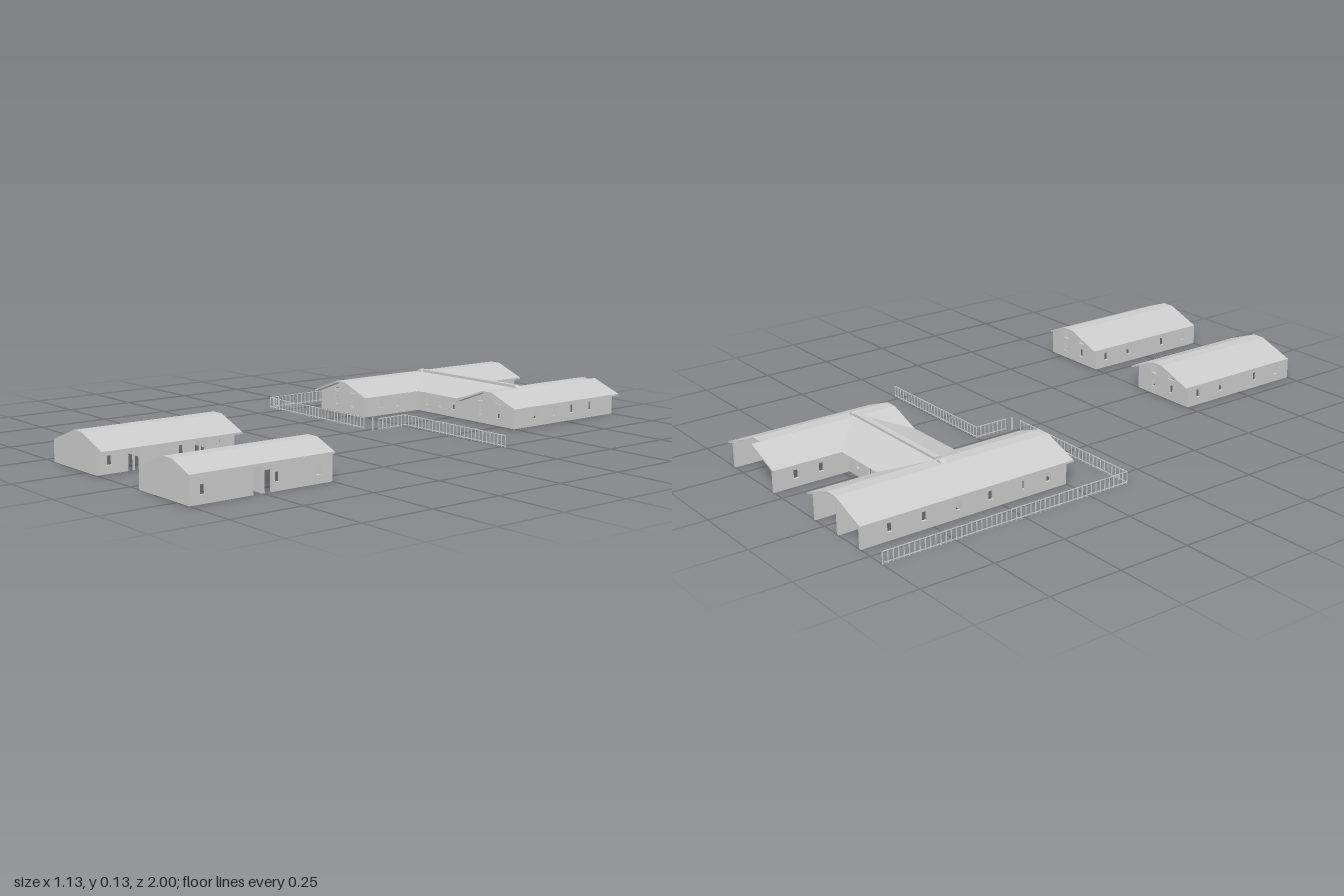
import * as THREE from 'three';

const mat = new THREE.MeshStandardMaterial({ color: 0xcccccc, flatShading: true, side: THREE.DoubleSide });
const T = 0.009; // wall thickness
const R = 0.006; // roof thickness

// Cross-section shared by every gabled wing: [across, height]
const roofLine = [[0, 0.073], [0.13, 0.121], [0.175, 0.121], [0.29, 0.077]];
const gableLine = [[0, 0], [0.26, 0], [0.26, 0.084], [0.175, 0.117], [0.13, 0.117], [0, 0.069]];

function add(parent, name, geo, x = 0, y = 0, z = 0, ry = 0) {
  const m = new THREE.Mesh(geo, mat);
  m.name = name;
  m.position.set(x, y, z);
  m.rotation.y = ry;
  parent.add(m);
  return m;
}

// Flat panel with rectangular openings [centre, bottom, width, height]
function panel(pts, openings = [], depth = T) {
  const s = new THREE.Shape(pts.map(p => new THREE.Vector2(p[0], p[1])));
  for (const [c, b, w, h] of openings) {
    s.holes.push(new THREE.Path([[c - w / 2, b], [c - w / 2, b + h], [c + w / 2, b + h], [c + w / 2, b]]
      .map(p => new THREE.Vector2(p[0], p[1]))));
  }
  return new THREE.ExtrudeGeometry(s, { depth, bevelEnabled: false });
}

const rect = (a, b, h) => [[a, 0], [b, 0], [b, h], [a, h]];
const lowWindow = c => [c, 0.027, 0.018, 0.03];

// Wall running along z, its thickness going towards -x
function sideWall(g, name, x, z0, z1, h, windows = [], doors = []) {
  const edges = [z0, ...doors.flat(), z1];
  for (let i = 0; i < edges.length; i += 2) {
    const a = edges[i], b = edges[i + 1];
    const own = windows.filter(c => c > a + 0.012 && c < b - 0.012).map(lowWindow);
    add(g, name, panel(rect(a, b, h), own), x, 0, 0, -Math.PI / 2);
  }
}

// Wall running along x
function crossWall(g, name, z, x0, x1, h, windows = []) {
  add(g, name, panel(rect(x0, x1, h), windows.map(lowWindow)), 0, 0, z);
}

// Three roof slabs: two slopes and a flat ridge
function gableRoof(g, x, z0, z1, width, ridgeStart = z0) {
  const k = (width - 0.175) / 0.115;
  const end = [width, 0.121 - 0.044 * k];
  const line = [...roofLine.slice(0, 3), end];
  ['leftRoofSlope', 'roofRidge', 'rightRoofSlope'].forEach((name, i) => {
    const [a, b] = [line[i], line[i + 1]];
    const start = i === 1 ? ridgeStart : z0;
    const pts = [[a[0], a[1] - R], [b[0], b[1] - R], b, a];
    add(g, name, panel(pts, [], z1 - start), x, 0, start);
  });
}

const gableWindows = [[0.09, 0.027, 0.018, 0.03], [0.18, 0.027, 0.018, 0.03],
  [0.09, 0.077, 0.03, 0.022], [0.18, 0.077, 0.03, 0.03]];

// Free-standing hall
function hall(name, x, roofWidth, doors) {
  const g = new THREE.Group();
  g.name = name;
  gableRoof(g, x, 0.49, 1, roofWidth);
  add(g, 'frontGable', panel(gableLine), x, 0, 1 - T);
  add(g, 'backGable', panel(gableLine, gableWindows), x, 0, 0.5);
  add(g, 'partition', panel(gableLine), x, 0, 0.745);
  sideWall(g, 'leftWall', x + T, 0.5, 1, 0.07, [0.55, 0.66, 0.83, 0.94]);
  sideWall(g, 'rightWall', x + 0.26, 0.5, 1, 0.084, [0.55, 0.7, 0.955], doors);
  // Porch post in each doorway
  for (const [a, b] of doors) {
    add(g, 'doorPost', new THREE.BoxGeometry(0.006, 0.084, 0.006), x + 0.257, 0.042, (a + b) / 2);
  }
  return g;
}

function leftWing() {
  const g = new THREE.Group(), x = -0.45;
  g.name = 'leftWing';
  gableRoof(g, x, -1, -0.22, 0.29);
  add(g, 'frontGable', panel(gableLine, gableWindows), x, 0, -0.25 - T);
  sideWall(g, 'outerWall', x + T, -1, -0.25, 0.07, [-0.9, -0.78, -0.66, -0.54, -0.42, -0.32]);
  sideWall(g, 'courtyardWall', x + 0.26, -1, -0.25, 0.084, [-0.92, -0.82, -0.4, -0.32]);
  sideWall(g, 'corridorWall', x + 0.13, -1, -0.25, 0.112, [], [[-0.92, -0.88], [-0.7, -0.66], [-0.5, -0.46], [-0.34, -0.3]]);
  // Room dividers beside the corridor
  for (const z of [-0.82, -0.62, -0.43]) {
    add(g, 'partition', panel([[0, 0], [0.13, 0], [0.13, 0.115], [0, 0.069]]), x, 0, z);
  }
  return g;
}

function rightWing() {
  const g = new THREE.Group(), x = 0.05;
  g.name = 'rightWing';
  gableRoof(g, x, -1, -0.47, 0.29, -0.97);
  add(g, 'frontGable', panel(gableLine, gableWindows), x, 0, -0.5 - T);
  add(g, 'partition', panel(gableLine), x, 0, -0.75);
  sideWall(g, 'courtyardWall', x + T, -1, -0.5, 0.07, [-0.92, -0.83], [[-0.64, -0.59]]);
  sideWall(g, 'outerWall', x + 0.26, -1, -0.5, 0.084, [-0.885, -0.79, -0.7, -0.605]);
  return g;
}

// Linking block whose roof runs into both wings
function link() {
  const g = new THREE.Group();
  g.name = 'linkBlock';
  crossWall(g, 'frontWall', -0.5 - T, -0.19, 0.05, 0.083, [-0.14, -0.07, 0.0]);
  crossWall(g, 'backWall', -0.73, -0.19, 0.05, 0.083, [-0.14, -0.07, 0.0]);
  const zr = -0.615;
  for (const s of [1, -1]) {
    const z = zr + s * 0.145;
    const p = [[-0.3, 0.125, zr], [-0.16, 0.078, z], [0.05, 0.078, z], [0.2, 0.125, zr]];
    const idx = s > 0 ? [0, 1, 2, 0, 2, 3] : [0, 2, 1, 0, 3, 2];
    const geo = new THREE.BufferGeometry();
    geo.setAttribute('position', new THREE.Float32BufferAttribute(idx.flatMap(i => p[i]), 3));
    geo.computeVertexNormals();
    add(g, s > 0 ? 'frontRoofSlope' : 'backRoofSlope', geo);
  }
  add(g, 'ridgeCap', new THREE.BoxGeometry(0.47, 0.009, 0.02), -0.045, 0.126, zr);
  // Small peaked ends of the ridge
  for (const x of [-0.3, 0.2]) {
    add(g, 'ridgeEnd', panel([[-0.018, 0.12], [0.018, 0.12], [0, 0.131]], [], 0.02), x, 0, zr - 0.01);
  }
  return g;
}

// Straight picket fence between two ground points
function fence(g, x0, z0, x1, z1) {
  const dx = x1 - x0, dz = z1 - z0, len = Math.hypot(dx, dz);
  const f = new THREE.Group();
  f.name = 'fenceRun';
  f.position.set(x0, 0, z0);
  f.rotation.y = Math.atan2(-dz, dx);
  for (const y of [0.0055, 0.04]) {
    add(f, 'rail', new THREE.BoxGeometry(len, 0.003, 0.002), len / 2, y, 0);
  }
  const n = Math.max(2, Math.round(len / 0.018));
  const picket = new THREE.BoxGeometry(0.003, 0.042, 0.002);
  for (let i = 0; i <= n; i++) add(f, 'picket', picket, len * i / n, 0.021, 0);
  g.add(f);
}

export function createModel() {
  const root = new THREE.Group();
  root.name = 'compound';
  root.add(
    hall('westHall', -0.2, 0.29, [[0.61, 0.65], [0.85, 0.89]]),
    hall('eastHall', 0.3, 0.26, [[0.72, 0.785]]),
    leftWing(), rightWing(), link());

  const fences = new THREE.Group();
  fences.name = 'fence';
  fence(fences, -0.565, -1, -0.565, -0.1);
  fence(fences, -0.565, -0.1, -0.02, -0.1);
  fence(fences, 0.025, -0.13, 0.025, -0.25);
  fence(fences, 0.025, -0.25, 0.52, -0.25);
  add(fences, 'gatePost', new THREE.BoxGeometry(0.004, 0.045, 0.004), 0.015, 0.0225, -0.11);
  root.add(fences);
  return root;
}
